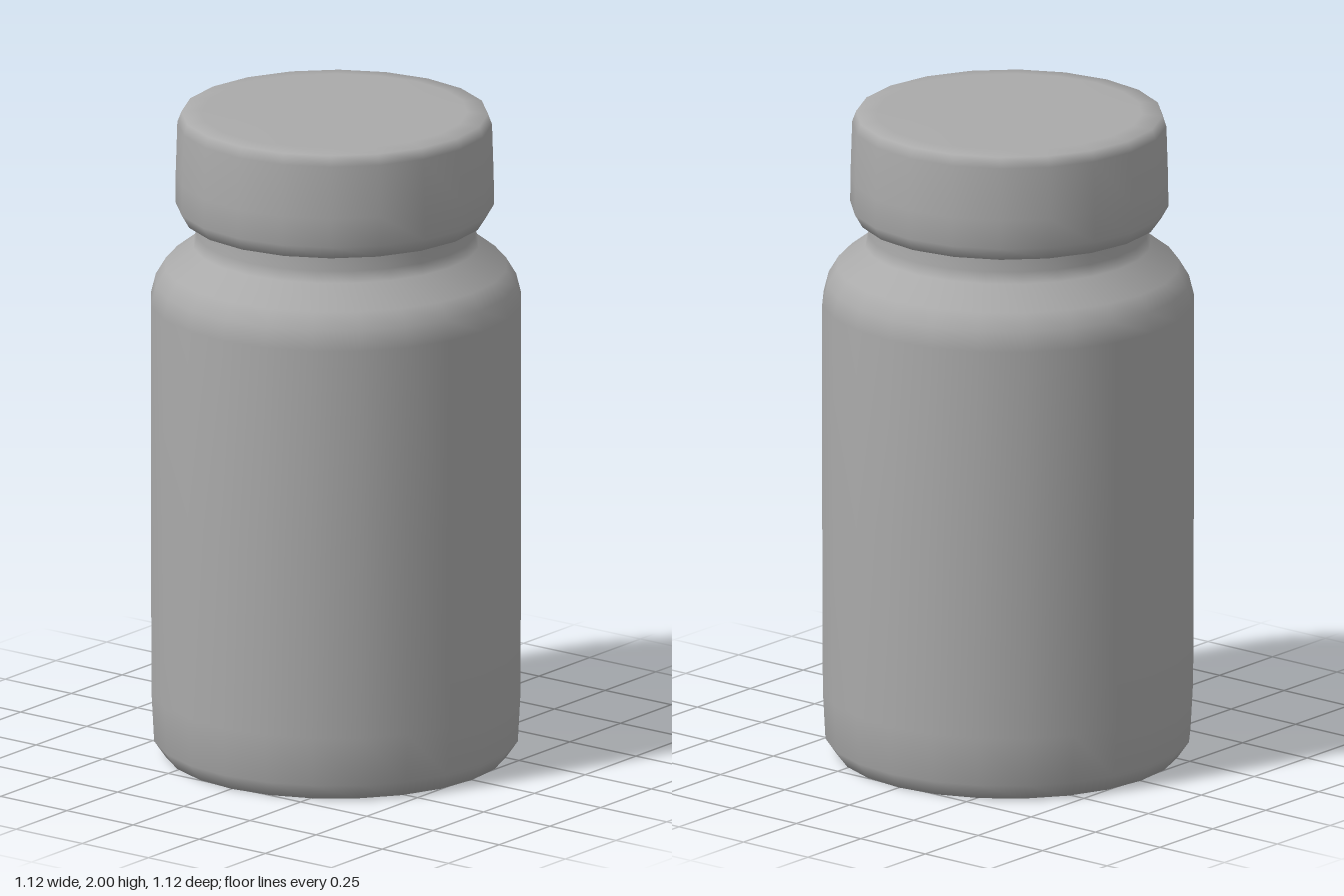
import * as THREE from 'three';

const grey = new THREE.MeshStandardMaterial({ color: 0xaaaaaa });
grey.name = 'plain grey';

// Smooth turned part from [radius, height] pairs listed bottom to top
function turned(name, profile, sides) {
  const points = profile.map(([r, y]) => new THREE.Vector2(r, y));
  const mesh = new THREE.Mesh(new THREE.LatheGeometry(points, sides), grey);
  mesh.name = name;
  return mesh;
}

export function createModel() {
  const group = new THREE.Group();
  group.name = 'jar';

  // Body with chamfered base, rounded shoulder and neck
  const body = turned('body', [
    [0, 0.015], [0.44, 0.01], [0.515, 0], [0.55, 0.05], [0.558, 0.2],
    [0.56, 0.8], [0.56, 1.41], [0.545, 1.47], [0.515, 1.52],
    [0.43, 1.585], [0.42, 1.62], [0.42, 1.7],
  ], 24);

  // Lid, slightly wider at its lower rim, with a flat closed top
  const lid = turned('lid', [
    [0.4, 1.665], [0.455, 1.67], [0.478, 1.71], [0.477, 1.8],
    [0.472, 1.96], [0.46, 1.992], [0.4, 1.997], [0, 2],
  ], 20);
  lid.position.z = -0.005;

  group.add(body, lid);
  return group;
}
